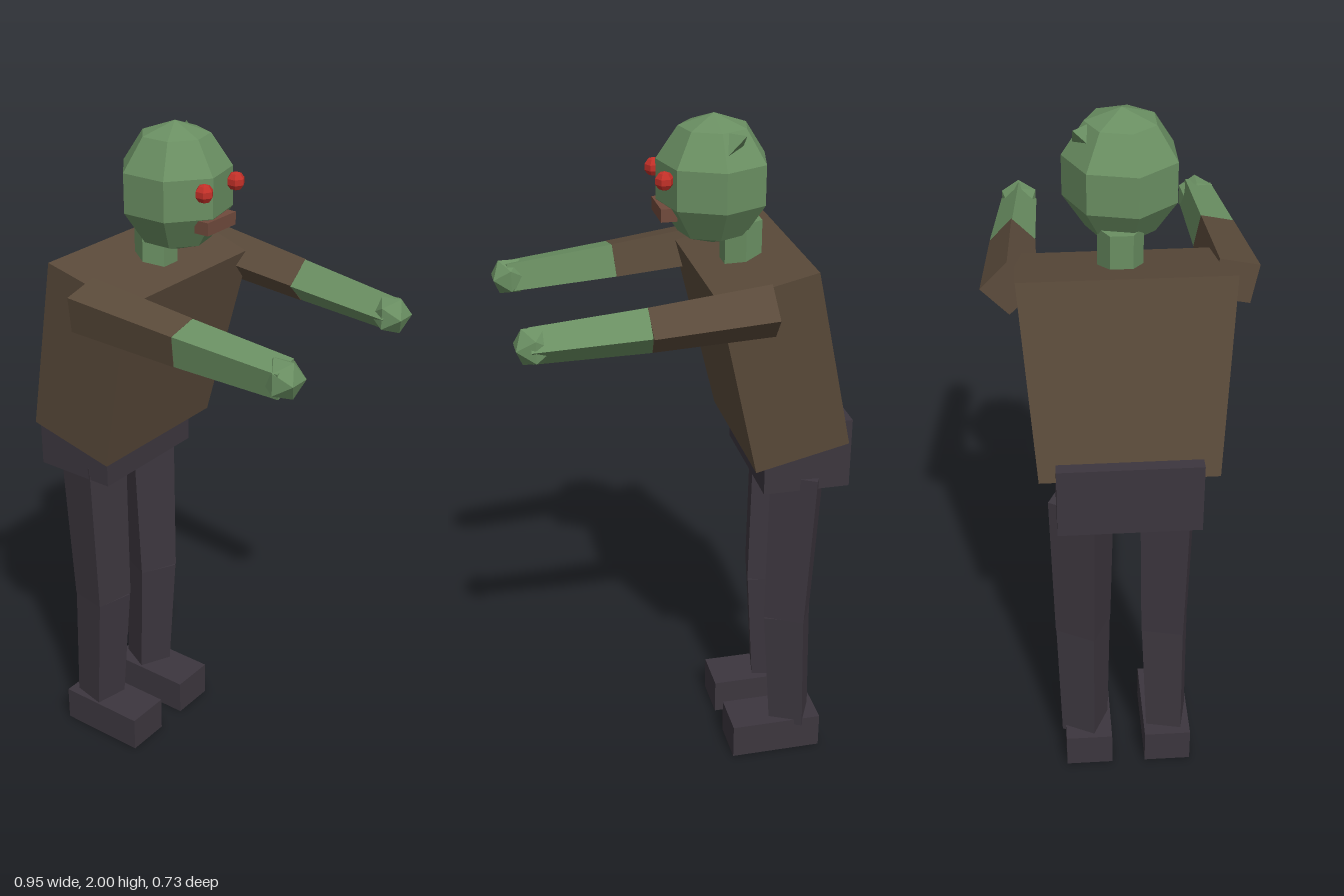
import * as THREE from 'three';

const flat = (name, color) => {
  const m = new THREE.MeshStandardMaterial({ color, flatShading: true });
  m.name = name;
  return m;
};

export function createModel() {
  const group = new THREE.Group();
  const skin = flat('green skin', 0x6a8f62);
  const shirt = flat('brown shirt', 0x5a4a3a);
  const trousers = flat('dark trousers', 0x3c363e);
  const red = flat('red eyes', 0xc23028);
  const lips = flat('mouth brown', 0x704a3c);

  const add = (name, geometry, material, x, y, z) => {
    const mesh = new THREE.Mesh(geometry, material);
    mesh.name = name;
    mesh.position.set(x, y, z);
    group.add(mesh);
    return mesh;
  };

  // Tapered square limb from a to b; sa and sb are side lengths, roll in degrees
  const limb = (name, a, b, sa, sb, roll, material) => {
    const A = new THREE.Vector3(...a), B = new THREE.Vector3(...b);
    const dir = B.clone().sub(A);
    const geo = new THREE.CylinderGeometry(sb * Math.SQRT1_2, sa * Math.SQRT1_2, dir.length(), 4);
    geo.rotateY(Math.PI / 4 + THREE.MathUtils.degToRad(roll));
    const mid = A.clone().add(B).multiplyScalar(0.5);
    const mesh = add(name, geo, material, mid.x, mid.y, mid.z);
    mesh.quaternion.setFromUnitVectors(new THREE.Vector3(0, 1, 0), dir.normalize());
  };

  // Torso: leaning box, wider at the shoulders
  const torsoGeo = new THREE.BoxGeometry(0.277, 0.546, 1);
  const p = torsoGeo.attributes.position;
  for (let i = 0; i < p.count; i++) p.setZ(i, p.getZ(i) * (p.getY(i) > 0 ? 0.56 : 0.48));
  add('torso', torsoGeo, shirt, -0.259, 1.34, 0.005).rotation.z = -0.23;
  add('pelvis', new THREE.BoxGeometry(0.255, 0.21, 0.39), trousers, -0.352, 1.05, 0.005);

  // Neck and head
  add('neck', new THREE.CylinderGeometry(0.06, 0.06, 0.18, 6), skin, -0.19, 1.62, -0.003);
  const head = add('head', new THREE.SphereGeometry(1, 7, 5), skin, -0.112, 1.822, 0.005);
  head.scale.set(0.163, 0.178, 0.161);
  head.geometry.rotateY(-Math.PI / 2);
  add('headLump', new THREE.TetrahedronGeometry(0.06), skin, -0.135, 1.93, -0.085);

  // Face
  for (const [name, z] of [['leftEye', 0.075], ['rightEye', -0.065]]) {
    add(name, new THREE.SphereGeometry(0.026, 6, 5), red, 0.037, 1.845, z);
  }
  add('mouth', new THREE.BoxGeometry(0.045, 0.036, 0.125), lips, 0.022, 1.747, 0.007);

  // Arms reaching forward along +x
  const arms = [['left', 1, 15, 0.296, 0.281, 0.265, 0.11], ['right', -1, 42, 0.294, 0.281, 0.26, 0.105]];
  for (const [side, s, roll, z0, z1, z2, w] of arms) {
    const shoulder = [-0.205, 1.55, s * z0], elbow = [0.122, 1.519, s * z1], wrist = [0.43, 1.495, s * z2];
    limb(side + 'UpperArm', shoulder, elbow, w, w - 0.015, roll, shirt);
    limb(side + 'Forearm', elbow, wrist, w - 0.016, w - 0.032, roll, skin);
    add(side + 'Hand', new THREE.IcosahedronGeometry(0.058), skin, 0.422, 1.495, s * z2);
  }

  // Legs with slightly bent knees, and block feet
  const legs = [['left', 0.12, 0.12, 0.128, 0.127, -12], ['right', -0.12, -0.12, -0.12, -0.111, -26]];
  for (const [side, hip, knee, ankle, foot, roll] of legs) {
    limb(side + 'Thigh', [-0.331, 0.49, knee], [-0.346, 0.98, hip], 0.122, 0.138, roll, trousers);
    limb(side + 'Shin', [-0.35, 0.09, ankle], [-0.331, 0.492, knee], 0.105, 0.12, roll, trousers);
    add(side + 'Foot', new THREE.BoxGeometry(0.28, 0.11, 0.138), trousers, -0.295, 0.055, foot);
  }
  return group;
}
